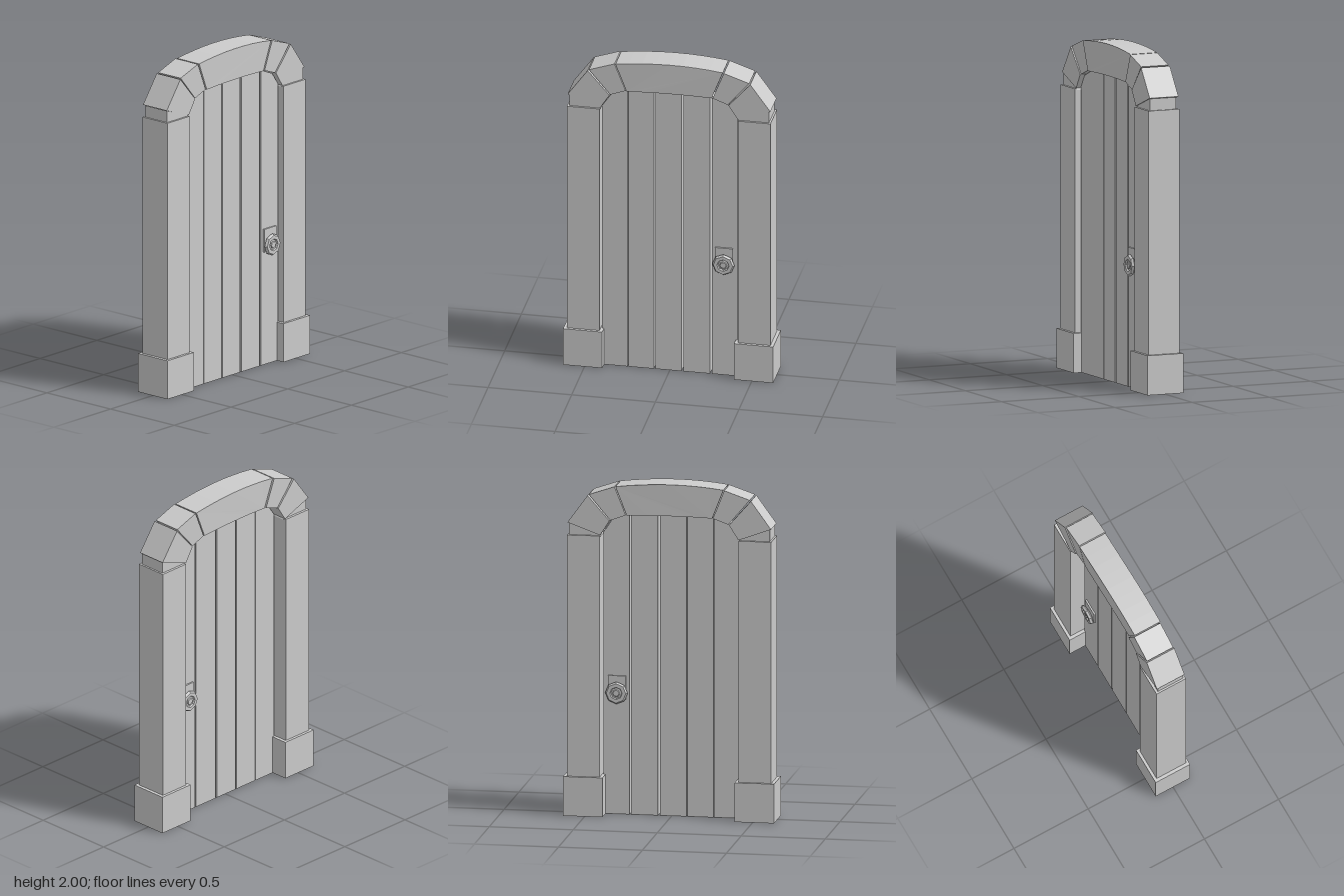
import * as THREE from 'three';

const solid = new THREE.MeshStandardMaterial({ color: 0xcccccc, flatShading: true });
const open = new THREE.MeshStandardMaterial({ color: 0xcccccc, flatShading: true, side: THREE.DoubleSide });

function add(parent, name, geometry, material = solid) {
  const mesh = new THREE.Mesh(geometry, material);
  mesh.name = name;
  parent.add(mesh);
  return mesh;
}

// Box given by its two extreme corners
function box(parent, name, [x0, y0, z0], [x1, y1, z1], material) {
  const g = new THREE.BoxGeometry(x1 - x0, y1 - y0, z1 - z0);
  return add(parent, name, g.translate((x0 + x1) / 2, (y0 + y1) / 2, (z0 + z1) / 2), material);
}

// Box without its underside
function openBox(parent, name, a, b) {
  const { geometry } = box(parent, name, a, b, open);
  const index = Array.from(geometry.index.array);
  index.splice(18, 6);
  geometry.setIndex(index);
}

// Outline in the xy plane, extruded from z0 to z1
function slab(parent, name, points, z0, z1) {
  const shape = new THREE.Shape(points.map(([x, y]) => new THREE.Vector2(x, y)));
  const g = new THREE.ExtrudeGeometry(shape, { depth: z1 - z0, bevelEnabled: false });
  return add(parent, name, g.translate(0, 0, z0));
}

export function createModel() {
  const door = new THREE.Group();
  door.name = 'archedDoor';

  // Door leaf, set towards the front of the frame; local z = 0 is its mid-plane
  const leaf = new THREE.Group();
  leaf.name = 'doorLeaf';
  leaf.position.z = 0.026;
  door.add(leaf);

  // Planks, cut to the arch at the outer edges
  const D = 0.037;
  for (const [x0, x1] of [[-0.248, -0.094], [-0.087, 0.07], [0.082, 0.241]]) {
    box(leaf, 'plank', [x0, 0, -D], [x1, 1.812, D]);
  }
  for (const s of [-1, 1]) {
    const outline = [[0.252, 0], [0.405, 0], [0.405, 1.688], [0.352, 1.766], [0.252, 1.807]];
    slab(leaf, 'edgePlank', outline.map(([x, y]) => [s * x, y]), -D, D);
  }

  // Handle on each face: back plate and eight-sided hollow knob
  const profile = [
    [0.03, 0.045], [0.03, 0.05], [0.055, 0.053], [0.067, 0.061], [0.058, 0.075],
    [0.037, 0.075], [0.032, 0.066], [0.022, 0.068], [0.018, 0.073], [0, 0.073],
  ].map(([r, h]) => new THREE.Vector2(r, h));
  for (const s of [1, -1]) {
    const handle = new THREE.Group();
    handle.name = s > 0 ? 'frontHandle' : 'backHandle';
    box(handle, 'handlePlate', [-0.053, -0.04, D - 0.003], [0.053, 0.1, 0.047]);
    add(handle, 'knob', new THREE.LatheGeometry(profile, 8).rotateX(Math.PI / 2));
    handle.position.set(0.325, 0.73, 0);
    handle.rotation.y = s > 0 ? 0 : Math.PI;
    leaf.add(handle);
  }

  // Posts, footings and the arch stones on each side
  for (const s of [-1, 1]) {
    const side = new THREE.Group();
    side.name = s > 0 ? 'leftSide' : 'rightSide';
    door.add(side);
    const mirror = (pts) => pts.map(([x, y]) => [s * x, y]);
    const cx = s * 0.511;
    openBox(side, 'post', [cx - 0.097, 0.235, -0.1], [cx + 0.097, 1.68, 0.098]);
    openBox(side, 'footing', [cx - 0.117, 0, -0.117], [cx + 0.117, 0.235, 0.115]);
    slab(side, 'mortarWedge', mirror([[0.41, 1.675], [0.597, 1.675], [0.597, 1.75], [0.42, 1.69]]), -0.085, 0.085);
    slab(side, 'springStone', mirror([[0.412, 1.684], [0.606, 1.755], [0.486, 1.92], [0.356, 1.772]]), -0.096, 0.09);
    slab(side, 'shoulderStone', mirror([[0.351, 1.774], [0.479, 1.925], [0.327, 1.977], [0.26, 1.808]]), -0.091, 0.086);
  }

  // Long curved stone over the top, bent slightly towards the back at one end
  const outer = [], inner = [];
  for (let i = 0; i <= 8; i++) {
    const t = -1 + i / 4;
    outer.push([t * 0.32, 2 - 0.022 * t * t]);
    inner.push([t * 0.253, 1.812 - 0.006 * t * t]);
  }
  const lintel = slab(door, 'topStone', [...inner, ...outer.reverse()], -0.088, 0.086);
  const pos = lintel.geometry.attributes.position;
  for (let i = 0; i < pos.count; i++) {
    pos.setZ(i, pos.getZ(i) - 0.004 * Math.sin(pos.getX(i) * 4.9));
  }
  lintel.geometry.computeVertexNormals();
  return door;
}
